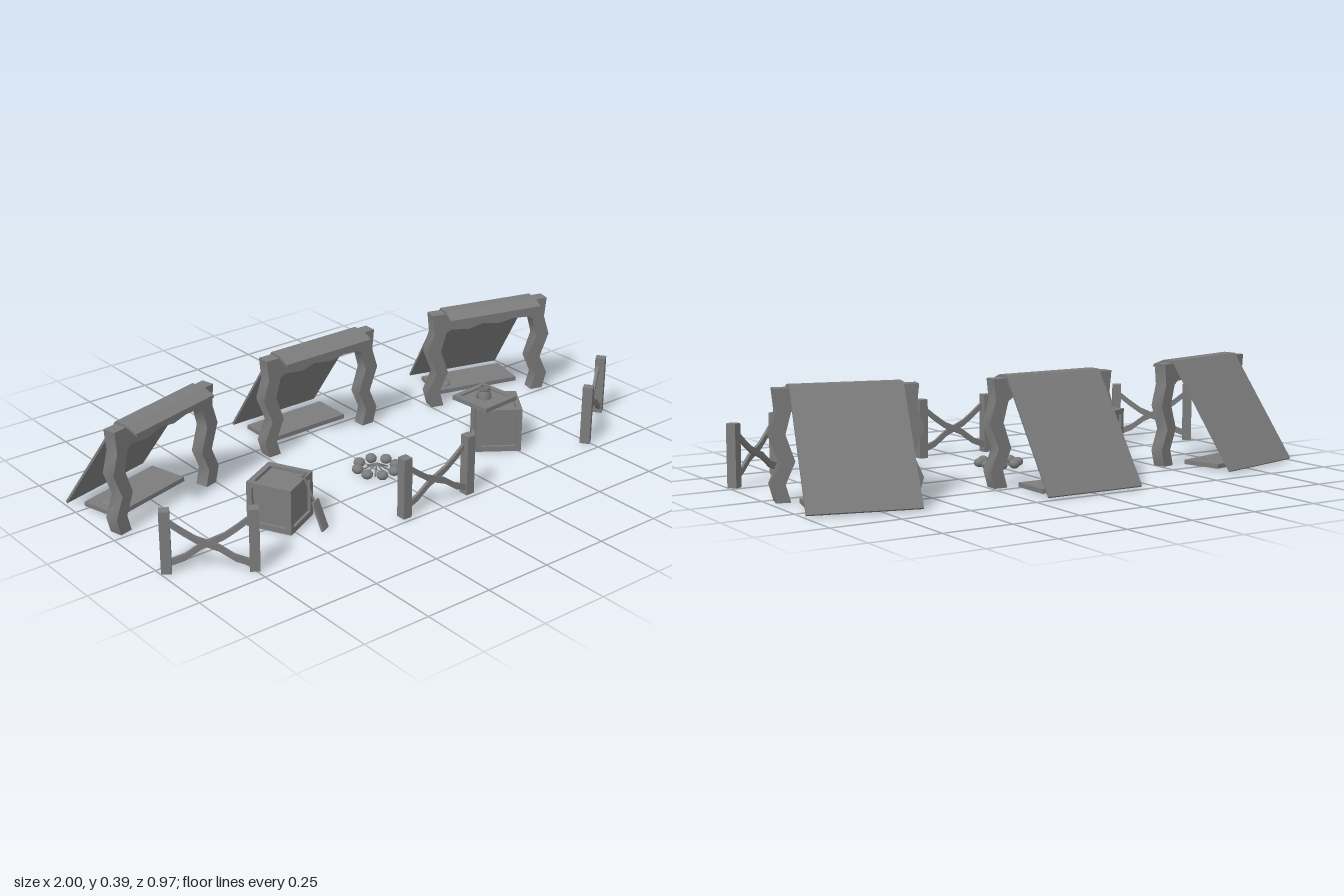
import * as THREE from 'three';
import { toCreasedNormals } from 'three/addons/utils/BufferGeometryUtils.js';

const mat = new THREE.MeshStandardMaterial({ color: 0x7c7c7c, side: THREE.DoubleSide });

function add(parent, name, geo, x = 0, y = 0, z = 0) {
  const mesh = new THREE.Mesh(geo, mat);
  mesh.name = name;
  mesh.position.set(x, y, z);
  parent.add(mesh);
  return mesh;
}
const box = (w, h, d) => new THREE.BoxGeometry(w, h, d);

function group(name, x, z, deg = 0) {
  const g = new THREE.Group();
  g.name = name;
  g.position.set(x, 0, z);
  g.rotation.y = THREE.MathUtils.degToRad(deg);
  return g;
}

// Extrude an outline, centred on its depth; bends below the crease angle are smooth
function slab(points, depth, crease = 1) {
  const shape = new THREE.Shape(points.map(p => new THREE.Vector2(...p)));
  const geo = new THREE.ExtrudeGeometry(shape, { depth, bevelEnabled: false });
  return toCreasedNormals(geo.translate(0, 0, -depth / 2), crease);
}

// Thin rod between two points
function rod(parent, name, a, b, r) {
  const from = new THREE.Vector3(...a), to = new THREE.Vector3(...b);
  const dir = to.clone().sub(from);
  const mesh = add(parent, name, new THREE.CylinderGeometry(r, r, dir.length(), 6));
  mesh.position.copy(from).addScaledVector(dir, 0.5);
  mesh.quaternion.setFromUnitVectors(new THREE.Vector3(0, 1, 0), dir.normalize());
}

// Lean-to shelter: crooked timber arch, sloping canopy, bed
function shelter(name, x, z, deg) {
  const g = group(name, x, z, deg);
  const outer = [[0.24, 0], [0.257, 0.06], [0.224, 0.135], [0.259, 0.225], [0.235, 0.3], [0.243, 0.376]];
  const inner = [[0.165, 0.31], [0.185, 0.298], [0.205, 0.225], [0.174, 0.135], [0.207, 0.06], [0.19, 0]];
  const mirror = pts => pts.map(([px, py]) => [-px, py]).reverse();
  const under = [[-0.09, 0.3], [-0.03, 0.315], [0.04, 0.304], [0.1, 0.314]];
  const arch = [...outer, ...mirror(outer), ...mirror(inner), ...under, ...inner];
  add(g, 'timberArch', slab(arch, 0.048), 0, 0, 0.004);

  // Canopy cross-section, in depth (z) and height, swept along the width
  const canopy = slab([[0.076, 0.356], [0.03, 0.375], [-0.015, 0.375], [-0.272, 0.004],
    [-0.279, 0.009], [-0.018, 0.385], [0.03, 0.385], [0.076, 0.366]], 0.38, 0.3);
  add(g, 'canopy', canopy.rotateY(-Math.PI / 2));

  add(g, 'bed', box(0.34, 0.016, 0.15), 0, 0.014, -0.133);
  const pillow = add(g, 'pillow', new THREE.SphereGeometry(1, 12, 8), -0.12, 0.022, -0.13);
  pillow.scale.set(0.03, 0.012, 0.045);
  return g;
}

// Barrier: two posts and two crooked crossing rails
function barrier(name, x, z, deg) {
  const g = group(name, x, z, deg);
  const mid = [[-0.14, 0.19], [-0.09, 0.15], [-0.045, 0.118], [0.03, 0.085], [0.08, 0.048], [0.14, 0.025]];
  for (const s of [-1, 1]) {
    add(g, 'post', box(0.034, 0.222, 0.036), s * 0.141, 0.111, 0);
    const top = mid.map(([px, py]) => [s * px, py + 0.012]);
    const bottom = mid.map(([px, py]) => [s * px, py - 0.012]).reverse();
    add(g, 'crossRail', slab([...bottom, ...top], 0.011), 0, 0, s * 0.008);
  }
  return g;
}

// Crate: inset core with twelve edge beams
function crate(name, x, z, deg) {
  const g = group(name, x, z, deg);
  const size = 0.165, e = 0.02, h = (size - e) / 2, c = size / 2;
  add(g, 'panels', box(size - 0.022, size - 0.022, size - 0.022), 0, c, 0);
  for (const a of [-h, h]) for (const b of [-h, h]) {
    add(g, 'edgeBeam', box(size, e, e), 0, c + a, b);
    add(g, 'edgeBeam', box(e, size, e), a, c, b);
    add(g, 'edgeBeam', box(e, e, size), a, c + b, 0);
  }
  return g;
}

// Shovel leaning on the front of a crate
function shovel() {
  const g = new THREE.Group();
  g.name = 'shovel';
  rod(g, 'shaft', [0, 0.188, 0.088], [0, 0.09, 0.132], 0.004);
  rod(g, 'grip', [-0.018, 0.188, 0.088], [0.018, 0.188, 0.088], 0.005);
  add(g, 'blade', box(0.04, 0.105, 0.009), 0, 0.052, 0.148).rotation.x = -0.35;
  return g;
}

// Kettle with lathed body and loop handle
function kettle() {
  const g = new THREE.Group();
  g.name = 'kettle';
  const profile = [[0, 0], [0.026, 0], [0.025, 0.012], [0.019, 0.03], [0.021, 0.032],
    [0.021, 0.044], [0.017, 0.044], [0.015, 0.012], [0, 0.012]];
  const body = new THREE.LatheGeometry(profile.map(p => new THREE.Vector2(...p)), 16);
  add(g, 'body', toCreasedNormals(body, 0.5));
  add(g, 'handle', new THREE.TorusGeometry(0.013, 0.003, 6, 12), -0.029, 0.022, 0);
  return g;
}

// Fire ring with stones and a low stack of sticks
function campfire(x, z) {
  const g = group('campfire', x, z);
  for (let i = 0; i < 8; i++) {
    const a = (i + 0.5) * Math.PI / 4, b = i * Math.PI / 4;
    const stone = add(g, 'stone', new THREE.SphereGeometry(0.021, 12, 8), Math.cos(a) * 0.07, 0.017, Math.sin(a) * 0.07);
    stone.scale.y = 0.82;
    rod(g, 'stick', [Math.cos(b) * 0.05, 0.003, Math.sin(b) * 0.05], [0, 0.03, 0], 0.003);
  }
  return g;
}

export function createModel() {
  const model = new THREE.Group();
  model.name = 'camp';
  model.add(shelter('middleShelter', 0, -0.205, 0));
  model.add(barrier('middleBarrier', -0.005, 0.466, 0));
  for (const s of [-1, 1]) {
    const side = s > 0 ? 'left' : 'right';
    model.add(shelter(side + 'Shelter', s * 0.739, -0.104, -15 * s));
    model.add(barrier(side + 'Barrier', s * 0.86, 0.358, 35 * s));
  }

  const shovelCrate = crate('shovelCrate', -0.489, 0.226, 27);
  shovelCrate.add(shovel());
  model.add(shovelCrate);

  // Covered crate with a turned, rimmed lid and kettle
  model.add(crate('coveredCrate', 0.487, 0.232, -35));
  const lid = group('crateTop', 0.456, 0.199, 5);
  add(lid, 'lid', box(0.16, 0.01, 0.16), 0, 0.17, 0);
  for (const s of [-1, 1]) {
    add(lid, 'lidRim', box(0.165, 0.016, 0.02), 0, 0.174, s * 0.0725);
    add(lid, 'lidRim', box(0.02, 0.016, 0.125), s * 0.0725, 0.174, 0);
  }
  const pot = kettle();
  pot.position.y = 0.175;
  lid.add(pot);
  model.add(lid);

  model.add(campfire(-0.005, 0.145));
  return model;
}
